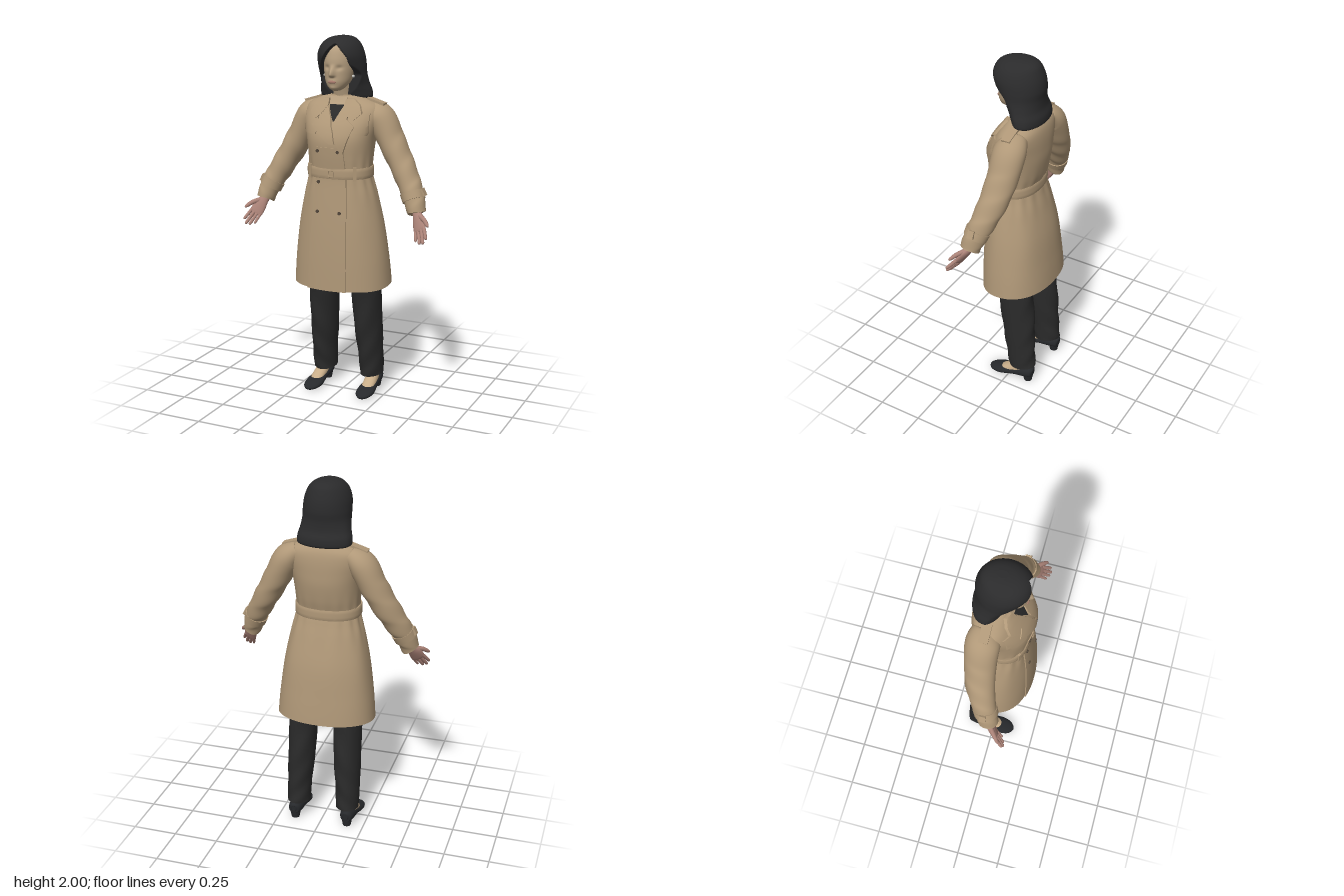
import * as THREE from 'three';
import { mergeGeometries, toCreasedNormals } from 'three/addons/utils/BufferGeometryUtils.js';

const V = (x, y, z) => new THREE.Vector3(x, y, z);
const smooth = THREE.MathUtils.smoothstep;
const bell = (v, c, w) => Math.exp(-(((v - c) / w) ** 2));
const spow = (v, e) => Math.sign(v) * Math.abs(v) ** e;

// Smooth interpolation of key rows
function sample(keys, t) {
  const n = keys.length - 1, f = Math.min(Math.max(t, 0), 1) * n;
  const i = Math.min(Math.floor(f), n - 1), s = f - i;
  const k = (j) => keys[Math.min(Math.max(j, 0), n)];
  return keys[0].map((_, c) => {
    const [a, b, d, e] = [k(i - 1)[c], k(i)[c], k(i + 1)[c], k(i + 2)[c]];
    return b + 0.5 * s * (d - a + s * (2 * a - 5 * b + 4 * d - e + s * (3 * (b - d) + e - a)));
  });
}

// Skin over cross-sections; keys are [x, y, z, radius across, radius deep]
function loft(keys, { seg = 24, steps = 20, p = 2, flat = false, caps = true, warp } = {}) {
  const pos = [], idx = [];
  for (let i = 0; i <= steps; i++) {
    const t = i / steps, [x, y, z, r1, r2] = sample(keys, t), c = V(x, y, z);
    const T = flat ? V(0, 1, 0)
      : V(...sample(keys, t + 0.01)).sub(V(...sample(keys, t - 0.01))).normalize();
    const u = V(1, 0, 0).addScaledVector(T, -T.x).normalize(), v = u.clone().cross(T);
    for (let j = 0; j < seg; j++) {
      const a = (j / seg) * Math.PI * 2;
      const q = c.clone().addScaledVector(u, r1 * spow(Math.cos(a), 2 / p))
        .addScaledVector(v, r2 * spow(Math.sin(a), 2 / p));
      if (warp) warp(q, a, t, c);
      pos.push(q.x, q.y, q.z);
    }
  }
  for (let i = 0; i < steps; i++) for (let j = 0; j < seg; j++) {
    const a = i * seg + j, c = i * seg + (j + 1) % seg;
    idx.push(a, a + seg, c, c, a + seg, c + seg);
  }
  if (caps) for (const i of [0, steps]) {
    const ring = pos.slice(i * seg * 3, (i + 1) * seg * 3), b = pos.length / 3, m = [0, 0, 0];
    ring.forEach((w, k) => { m[k % 3] += w / seg; });
    pos.push(...ring, ...m);
    for (let j = 0; j < seg; j++) {
      const e = [b + j, b + (j + 1) % seg];
      idx.push(...(i ? [e[1], e[0]] : e), b + seg);
    }
  }
  return finish(pos, idx);
}

function finish(pos, idx) {
  const g = new THREE.BufferGeometry();
  g.setAttribute('position', new THREE.Float32BufferAttribute(pos, 3));
  g.setIndex(idx);
  g.computeVertexNormals();
  return g;
}

function mirror(geo) {
  const g = geo.clone().scale(-1, 1, 1), a = g.index.array;
  for (let i = 0; i < a.length; i += 3) [a[i], a[i + 1]] = [a[i + 1], a[i]];
  g.computeVertexNormals();
  return g;
}

// Coat body sections, hem to neck
const row = (y, rx, front, back) => [0, y, (front + back) / 2, rx, (front - back) / 2];
const COAT = [row(0.637, 0.275, 0.195, -0.2), row(0.8, 0.262, 0.192, -0.188), row(0.98, 0.238, 0.184, -0.168),
  row(1.14, 0.206, 0.172, -0.132), row(1.23, 0.182, 0.164, -0.108), row(1.28, 0.173, 0.162, -0.1),
  row(1.36, 0.177, 0.172, -0.12), row(1.45, 0.188, 0.176, -0.135), row(1.52, 0.203, 0.155, -0.137),
  row(1.58, 0.215, 0.12, -0.135), row(1.625, 0.208, 0.088, -0.128), row(1.655, 0.165, 0.066, -0.115),
  row(1.685, 0.085, 0.05, -0.09)];
const P = 2.25;

function coatZ(x, y) {
  let a = 0, b = 1;
  for (let i = 0; i < 24; i++) {
    const m = (a + b) / 2;
    if (sample(COAT, m)[1] < y) a = m; else b = m;
  }
  const [, , z, rx, rz] = sample(COAT, a);
  return z + rz * (1 - Math.min(Math.abs(x) / rx, 0.99) ** P) ** (1 / P);
}

function coatWarp(q, a, t, c) {
  const y = q.y, k = 1 + 0.018 * Math.sin(15 * a) * bell(y, 1.25, 0.1) + 0.008 * Math.sin(7 * a + 1) * bell(y, 1.0, 0.2);
  q.x *= k;
  q.z = c.z + (q.z - c.z) * k;
  q.y += 0.025 * smooth(-q.z, -0.18, 0.2) * (1 - smooth(y, 0.64, 0.85));
}

// Thin cloth panel lying on the coat front; rows are [y, x0, x1]
function panel(rows, off, n = 8) {
  const m = 16, pos = [], idx = [];
  for (let i = -1; i <= m + 1; i++) for (let j = -1; j <= n + 1; j++) {
    const t = Math.min(Math.max(i / m, 0), 1), s = Math.min(Math.max(j / n, 0), 1);
    const f = t * (rows.length - 1), k = Math.min(Math.floor(f), rows.length - 2);
    const [y, x0, x1] = rows[k].map((v, c) => v + (rows[k + 1][c] - v) * (f - k));
    const x = x0 + (x1 - x0) * s, rim = i < 0 || j < 0 || i > m || j > n;
    pos.push(x, y, coatZ(x, y) + (rim ? -0.004 : off));
  }
  const w = n + 3;
  for (let i = 0; i < m + 2; i++) for (let j = 0; j < w - 1; j++) {
    const a = i * w + j;
    idx.push(a, a + 1, a + w + 1, a, a + w + 1, a + w);
  }
  return toCreasedNormals(finish(pos, idx), 0.7);
}

export function createModel() {
  const root = new THREE.Group();
  root.name = 'womanInTrenchCoat';
  const mat = (name, color) => Object.assign(new THREE.MeshStandardMaterial({ color }), { name });
  const M = {
    coat: mat('coatTan', 0xb09878), hair: mat('hairBlack', 0x2b2b2c), cloth: mat('trouserBlack', 0x2a2a2a),
    shoe: mat('shoeBlack', 0x27292c), face: mat('faceSkin', 0xb69f80), hand: mat('handSkin', 0xab8378),
    foot: mat('footSkin', 0xc9ae8a), lip: mat('lipRose', 0xa5796b), button: mat('buttonBrown', 0x51463a),
    silver: mat('earringSilver', 0xc4c4c0),
  };
  const add = (name, geo, m) => {
    const mesh = new THREE.Mesh(geo, m);
    mesh.name = name;
    root.add(mesh);
    return mesh;
  };
  const pair = (name, geo, m) => {
    add(name + 'Left', geo, m);
    add(name + 'Right', mirror(geo), m);
  };

  // Coat body and dark lining
  add('coatBody', loft(COAT, { seg: 96, steps: 72, p: P, flat: true, caps: false, warp: coatWarp }), M.coat);
  const lining = COAT.slice(0, 5).map(([x, y, z, a, b], i) => [x, y, z, a - (i ? 0.012 : 0), b - (i ? 0.012 : 0)]).reverse();
  add('coatLining', loft(lining, { seg: 72, steps: 20, p: P, flat: true, caps: false, warp: coatWarp }), M.cloth);

  // Front overlap, lapels, collar and storm flaps
  add('frontOverlap', panel([[0.635, -0.13, 0.1], [0.85, -0.12, 0.1], [1.1, -0.1, 0.095], [1.28, -0.09, 0.085],
    [1.42, -0.08, 0.075]], 0.006, 14), M.coat);
  add('shirt', panel([[1.555, 0.004, 0.008], [1.6, -0.024, 0.03], [1.64, -0.042, 0.042]], 0.004), M.cloth);
  add('throat', panel([[1.64, -0.042, 0.042], [1.68, -0.05, 0.05]], 0.004), M.face);
  add('lapelRight', panel([[1.44, 0, 0.03], [1.5, -0.08, 0.015], [1.535, -0.125, 0], [1.57, -0.08, -0.01],
    [1.635, -0.085, -0.045]], 0.012), M.coat);
  add('lapelLeft', panel([[1.39, 0.06, 0.075], [1.47, 0.035, 0.1], [1.535, 0.014, 0.125], [1.57, 0.018, 0.08],
    [1.635, 0.045, 0.085]], 0.012), M.coat);
  for (const s of [1, -1]) {
    const side = (rows) => rows.map(([y, a, b]) => [y, Math.min(a * s, b * s), Math.max(a * s, b * s)]);
    const tag = s > 0 ? 'Left' : 'Right';
    add('collarLeaf' + tag, panel(side([[1.565, 0.105, 0.115], [1.6, 0.065, 0.15], [1.64, 0.045, 0.13], [1.67, 0.05, 0.09]]), 0.016), M.coat);
    add('stormFlap' + tag, panel(side([[1.485, 0.09, 0.18], [1.5, 0.085, 0.185], [1.6, 0.09, 0.185]]), 0.007), M.coat);
    add('epaulette' + tag, new THREE.BoxGeometry(0.1, 0.012, 0.05).rotateZ(-0.3 * s).translate(0.185 * s, 1.655, -0.03), M.coat);
  }
  add('collarStand', loft([[0, 1.64, -0.03, 0.105, 0.085], [0, 1.69, -0.025, 0.085, 0.075]],
    { seg: 40, steps: 4, flat: true }), M.coat);

  // Belt, buckle and loops
  const belt = (y, o) => [0, y, 0.031, 0.177 + o, 0.134 + o];
  add('belt', toCreasedNormals(loft([belt(1.252, 0), belt(1.255, 0.006), belt(1.305, 0.006), belt(1.308, 0)],
    { seg: 72, steps: 9, p: P, flat: true }), 0.8), M.coat);
  for (const x of [-0.13, 0.13])
    add('beltLoop', new THREE.BoxGeometry(0.018, 0.075, 0.012).rotateY(x * 4).translate(x, 1.28, coatZ(x, 1.28) + 0.01), M.coat);
  add('buckle', new THREE.TorusGeometry(0.022, 0.004, 6, 4).rotateZ(Math.PI / 4).translate(0.01, 1.28, 0.176), M.coat);

  // Buttons
  for (const [x, y] of [[-0.07, 1.4], [0.05, 1.4], [-0.07, 1.23], [-0.07, 1.07], [0.06, 1.07]])
    add('button', new THREE.CylinderGeometry(0.009, 0.009, 0.008, 16).rotateX(Math.PI / 2)
      .translate(x, y, coatZ(x, y) + 0.008), M.button);

  // Sleeves with cuff straps
  const folds = (q, a, t) => { q.y += 0.005 * Math.sin(t * 38 + a * 2) * smooth(t, 0.2, 0.4); };
  pair('sleeve', loft([[0.14, 1.595, -0.03, 0.06, 0.08], [0.205, 1.565, -0.038, 0.076, 0.09], [0.265, 1.455, -0.035, 0.073, 0.085],
    [0.33, 1.34, -0.02, 0.068, 0.078], [0.39, 1.235, 0.008, 0.063, 0.068], [0.43, 1.155, 0.035, 0.057, 0.06],
    [0.455, 1.085, 0.055, 0.049, 0.054]], { seg: 36, steps: 48, warp: folds }), M.coat);
  pair('cuffStrap', loft([[0.414, 1.187, 0.026, 0.064, 0.068], [0.431, 1.148, 0.037, 0.062, 0.065]], { seg: 36, steps: 4 }), M.coat);
  pair('cuffBuckle', new THREE.BoxGeometry(0.018, 0.042, 0.035).rotateZ(0.45).translate(0.479, 1.195, 0.03), M.coat);

  // Hands, modelled pointing down and then aimed along the forearm
  const finger = (x0, x1, y1, r) => loft([[x0, -0.085, 0, r, r], [(x0 + x1) / 2, (y1 - 0.085) / 2, 0.004, r, r],
    [x1, y1, 0.009, r * 0.85, r * 0.85], [x1, y1 - 0.007, 0.01, r * 0.3, r * 0.3]], { seg: 10, steps: 9 });
  const w = V(0.85, 0.45, 0.1).normalize(), up = V(-0.35, 0.8, -0.5);
  up.addScaledVector(w, -up.dot(w)).normalize();
  const hand = mergeGeometries([
    loft([[0, 0.05, 0, 0.026, 0.024], [0, 0, 0, 0.026, 0.02], [0.003, -0.04, 0, 0.036, 0.018],
      [0, -0.085, 0, 0.038, 0.013], [0, -0.1, 0, 0.034, 0.009]], { seg: 20, steps: 14 }),
    finger(0.028, 0.034, -0.155, 0.0095), finger(0.01, 0.012, -0.172, 0.01),
    finger(-0.009, -0.009, -0.166, 0.0095), finger(-0.027, -0.03, -0.145, 0.008),
    loft([[0.018, -0.02, 0.004, 0.014, 0.013], [0.045, -0.055, 0.012, 0.013, 0.012], [0.06, -0.09, 0.016, 0.01, 0.009],
      [0.064, -0.103, 0.017, 0.004, 0.004]], { seg: 10, steps: 9 }),
  ]).applyMatrix4(new THREE.Matrix4().makeBasis(w, up, w.clone().cross(up)).setPosition(0.458, 1.08, 0.058));
  pair('hand', hand, M.hand);

  // Trousers
  pair('trouserLeg', loft([[0.115, 0.85, -0.01, 0.1, 0.12], [0.128, 0.64, -0.024, 0.081, 0.105], [0.135, 0.4, -0.048, 0.076, 0.098],
    [0.143, 0.22, -0.066, 0.068, 0.086], [0.145, 0.1, -0.079, 0.065, 0.08]],
  { seg: 32, steps: 28, warp: (q, a, t) => { q.z += 0.003 * Math.sin(t * 26 + a * 3); } }), M.cloth);

  // Feet and heeled shoes
  pair('foot', loft([[0.152, 0.16, -0.085, 0.034, 0.038], [0.155, 0.1, -0.075, 0.035, 0.042], [0.157, 0.068, -0.045, 0.036, 0.038],
    [0.16, 0.042, 0.015, 0.036, 0.025], [0.161, 0.03, 0.05, 0.03, 0.014]], { seg: 24, steps: 16 }), M.foot);
  pair('shoe', loft([[0.155, 0.068, -0.156, 0.012, 0.018], [0.155, 0.068, -0.145, 0.032, 0.034], [0.155, 0.06, -0.1, 0.042, 0.034],
    [0.158, 0.043, -0.03, 0.042, 0.026], [0.16, 0.026, 0.04, 0.051, 0.024], [0.162, 0.018, 0.09, 0.043, 0.018],
    [0.162, 0.013, 0.118, 0.022, 0.011], [0.162, 0.011, 0.126, 0.004, 0.004]], { seg: 28, steps: 28, p: 2.2 }), M.shoe);
  pair('shoeHeel', new THREE.CylinderGeometry(0.034, 0.023, 0.06, 20).translate(0.155, 0.03, -0.122), M.shoe);

  // Head with nose, brow and eye sockets
  const faceWarp = (q) => {
    if (q.z < 0.06) return;
    const ramp = smooth(q.y, 1.785, 1.8) * (1 - smooth(q.y, 1.802, 1.86));
    q.z += 0.03 * ramp * bell(q.x, 0, 0.013) - 0.009 * bell(Math.abs(q.x), 0.034, 0.016) * bell(q.y, 1.838, 0.012)
      + 0.004 * bell(q.y, 1.765, 0.012) * bell(q.x, 0, 0.025) + 0.004 * bell(q.y, 1.73, 0.012) * bell(q.x, 0, 0.02);
  };
  const head = (y, z, rx, rz) => [0, y, z, rx, rz];
  add('head', loft([head(1.715, 0.085, 0.02, 0.025), head(1.73, 0.077, 0.043, 0.053), head(1.76, 0.06, 0.065, 0.078),
    head(1.8, 0.045, 0.077, 0.094), head(1.84, 0.038, 0.083, 0.1), head(1.89, 0.03, 0.085, 0.104), head(1.94, 0.025, 0.074, 0.092),
    head(1.968, 0.02, 0.045, 0.06)], { seg: 80, steps: 60, flat: true, warp: faceWarp }), M.face);
  add('neck', loft([[0, 1.6, -0.02, 0.062, 0.06], [0, 1.67, -0.005, 0.054, 0.054], [0, 1.77, 0.02, 0.052, 0.055]],
    { seg: 28, steps: 10, flat: true }), M.face);
  add('lips', new THREE.SphereGeometry(1, 20, 12).scale(0.024, 0.008, 0.006).translate(0, 1.764, 0.141), M.lip);
  for (const x of [-0.083, 0.083])
    add('earring', new THREE.SphereGeometry(0.008, 12, 8).translate(x, 1.79, 0.052), M.silver);

  // Shoulder-length hair, drawn back from the face below an off-centre parting
  const hairWarp = (q, a) => {
    const arch = 1.965 - 0.115 * (Math.abs(q.x - 0.015) / 0.09) ** 1.3;
    const side = 0.032 + 0.13 * smooth(q.y, 1.79, 1.9);
    const open = 1 - smooth(Math.abs(q.x), 0.07, 0.085);
    const limit = side + (Math.min(0.04, side) - side) * open;
    q.z += (Math.min(q.z, limit) - q.z) * smooth(arch - q.y, 0, 0.012);
    q.x *= 1 + 0.008 * Math.sin(a * 9) * (1 - smooth(q.y, 1.7, 1.9));
  };
  add('hair', loft([head(1.664, -0.055, 0.13, 0.07), head(1.675, -0.053, 0.148, 0.083), head(1.71, -0.045, 0.147, 0.09),
    head(1.75, -0.028, 0.137, 0.094), head(1.8, -0.004, 0.13, 0.115), head(1.85, 0.01, 0.129, 0.134), head(1.9, 0.022, 0.124, 0.141),
    head(1.945, 0.024, 0.108, 0.129), head(1.975, 0.018, 0.084, 0.107), head(1.992, 0.012, 0.054, 0.073),
    head(1.999, 0.01, 0.02, 0.03)], { seg: 120, steps: 90, flat: true, warp: hairWarp }), M.hair);

  return root;
}
